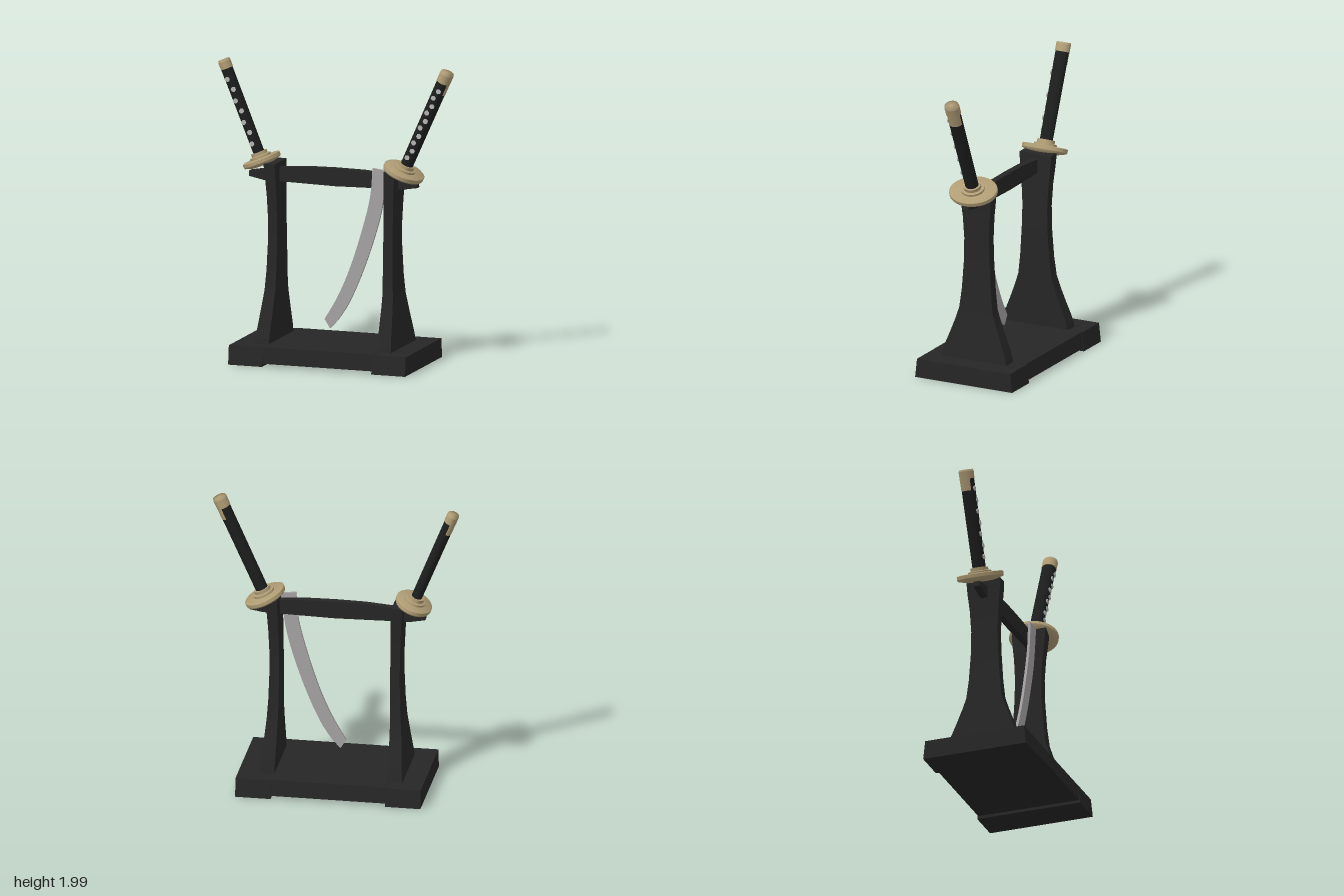
import * as THREE from 'three';
import { toCreasedNormals } from 'three/addons/utils/BufferGeometryUtils.js';

const mat = (name, color, extra = {}) => {
  const m = new THREE.MeshStandardMaterial({ color, ...extra });
  m.name = name;
  return m;
};

// linear interpolation through rows of [y, a, b, c]
function sample(rows, y, k) {
  for (let i = 1; i < rows.length; i++) {
    const p = rows[i - 1], q = rows[i];
    if (y <= q[0] + 1e-6) return THREE.MathUtils.lerp(p[k], q[k], (y - p[0]) / (q[0] - p[0]));
  }
  return rows[rows.length - 1][k];
}

export function createModel() {
  const wood = mat('dark wood', 0x262626);
  const wrap = mat('black grip', 0x1c1e1d);
  const brass = mat('pale brass', 0xb09d75, { side: THREE.DoubleSide });
  const steel = mat('steel', 0xa5a2a3);
  const skin = mat('pale inlay', 0xb4b4b4);

  const root = new THREE.Group();
  const add = (parent, name, geo, material, x = 0, y = 0, z = 0) => {
    const m = new THREE.Mesh(geo, material);
    m.name = name;
    m.position.set(x, y, z);
    parent.add(m);
    return m;
  };
  const MID = -0.01; // centre line of the stand

  // box whose depth narrows towards the top
  function taperedBox(w, y0, y1, z0, z1) {
    const g = new THREE.BoxGeometry(w, y1 - y0, 2).toNonIndexed();
    const p = g.attributes.position;
    for (let i = 0; i < p.count; i++) {
      const top = p.getY(i) > 0;
      p.setXYZ(i, p.getX(i), top ? y1 : y0, Math.sign(p.getZ(i)) * (top ? z1 : z0));
    }
    g.computeVertexNormals();
    return g;
  }

  // base: recessed middle with a raised end block on each side
  add(root, 'baseMiddle', taperedBox(0.77, 0.02, 0.13, 0.353, 0.343), wood, MID);
  for (const s of [-1, 1])
    add(root, 'baseEnd', taperedBox(0.235, 0, 0.127, 0.36, 0.346), wood, MID + s * 0.4975);

  // posts: waisted in both directions; rows are [y, half depth, inner x, outer x]
  const rows = [
    [0.12, 0.243, 0.375, 0.476], [0.2, 0.222, 0.375, 0.468], [0.3, 0.182, 0.374, 0.46],
    [0.4, 0.145, 0.373, 0.452], [0.47, 0.123, 0.372, 0.446], [0.6, 0.108, 0.37, 0.438],
    [0.8, 0.095, 0.368, 0.432], [0.95, 0.092, 0.371, 0.434], [1.1, 0.1, 0.374, 0.44],
    [1.22, 0.113, 0.376, 0.448], [1.305, 0.118, 0.38, 0.456],
  ];
  for (const s of [-1, 1]) {
    const g = new THREE.BoxGeometry(2, 1, 2, 1, rows.length - 1, 1);
    const p = g.attributes.position;
    for (let i = 0; i < p.count; i++) {
      const y = rows[Math.round((p.getY(i) + 0.5) * (rows.length - 1))][0];
      const outer = p.getX(i) * s > 0;
      p.setXYZ(i, s * sample(rows, y, outer ? 3 : 2), y, Math.sign(p.getZ(i)) * sample(rows, y, 1));
    }
    add(root, 'post', toCreasedNormals(g, 0.5), wood, MID);
  }

  const plate = (pts, depth) => new THREE.ExtrudeGeometry(
    new THREE.Shape(pts.map(([x, y]) => new THREE.Vector2(x, y))), { depth, bevelEnabled: false });

  // crossbar, thicker in the middle, with tapered ends beyond the posts
  add(root, 'crossbar', plate([
    [-0.6, 1.2], [-0.5, 1.18], [-0.25, 1.175], [0, 1.17], [0.25, 1.175], [0.48, 1.18], [0.57, 1.195],
    [0.56, 1.24], [0.4, 1.27], [0.2, 1.285], [0, 1.288], [-0.2, 1.285], [-0.4, 1.27], [-0.6, 1.235],
  ], 0.045), wood, 0, 0, -0.018);

  // curved bare blade hanging in front of the crossbar
  const blade = new THREE.Shape();
  blade.moveTo(0.268, 1.312);
  blade.splineThru([[0.25, 1.11], [0.185, 0.86], [0.105, 0.62], [0.02, 0.43], [-0.065, 0.285]]
    .map(a => new THREE.Vector2(...a)));
  blade.lineTo(-0.027, 0.225);
  blade.lineTo(0.025, 0.28);
  blade.splineThru([[0.1, 0.395], [0.185, 0.58], [0.265, 0.8], [0.33, 1.03], [0.37, 1.3]]
    .map(a => new THREE.Vector2(...a)));
  add(root, 'blade', new THREE.ExtrudeGeometry(blade,
    { depth: 0.018, bevelEnabled: false, curveSegments: 5 }), steel, 0, 0, 0.034);

  // hilt: guard, collar, wrapped grip with inlays, and end cap
  function hilt(name, side, x, y, angle, length, rx, guardX, guardZ, capLength, inlays) {
    const g = new THREE.Group();
    g.name = name;
    g.position.set(x, y, 0);
    g.rotation.z = -side * angle;
    root.add(g);
    const rz = 0.047;
    const lathe = (pts) => toCreasedNormals(
      new THREE.LatheGeometry(pts.map(a => new THREE.Vector2(...a)), 36), 0.6);

    add(g, 'guard', lathe([[0, -0.03], [0.6, -0.027], [0.97, -0.012], [1, -0.004], [1, 0.018],
      [0.96, 0.022], [0, 0.022]]), brass).scale.set(guardX, 1, guardZ);
    add(g, 'collar', lathe([[0.075, 0.02], [0.075, 0.036], [0.057, 0.04], [0.057, 0.062], [0, 0.062]]),
      brass).scale.set(0.95, 1, 1.05);

    const gripTop = length - capLength;
    add(g, 'grip', new THREE.CylinderGeometry(1, 0.95, gripTop - 0.03, 24), wrap,
      0, (gripTop + 0.03) / 2).scale.set(rx, 1, rz);
    add(g, 'endCap', lathe([[0, 0], [1.07, 0], [1.09, capLength * 0.8], [1, capLength], [0, capLength]]),
      brass, 0, gripTop).scale.set(rx, 1, rz);
    // cap tongue along the outer face of the grip
    const start = side > 0 ? Math.PI * 0.3 : Math.PI * 1.05;
    add(g, 'capTongue', new THREE.CylinderGeometry(1.06, 1.05, 0.08, 12, 1, true, start, Math.PI * 0.65),
      brass, 0, gripTop - 0.038).scale.set(rx, 1, rz);

    for (let i = 0; i < inlays; i++) {
      const t = (i + 0.5) / inlays;
      const m = add(g, 'gripInlay', new THREE.CylinderGeometry(0.018, 0.018, 0.008, 6), skin,
        (i % 2 ? 1 : -1) * 0.007, 0.09 + t * (gripTop - 0.12), rz - 0.002);
      m.rotation.x = Math.PI / 2;
    }
  }
  hilt('leftHilt', 1, 0.465, 1.287, 0.42, 0.755, 0.043, 0.137, 0.167, 0.075, 10);
  hilt('rightHilt', -1, -0.518, 1.302, 0.385, 0.71, 0.037, 0.123, 0.158, 0.062, 7);

  return root;
}
